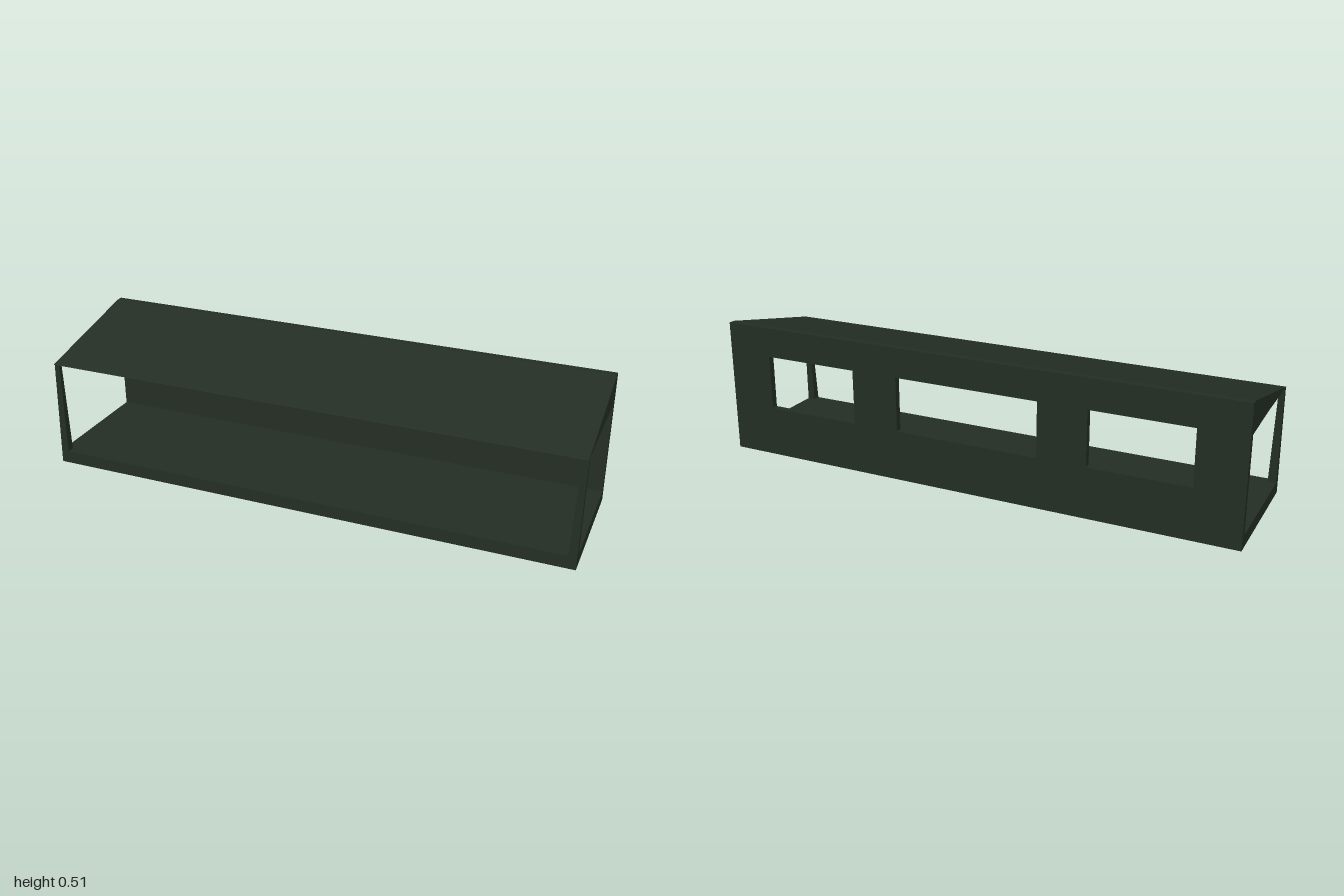
import * as THREE from 'three';

// Extrude a (z, y) side profile along the full length of x
function sideExtrude(points, length) {
  const shape = new THREE.Shape(points.map(([z, y]) => new THREE.Vector2(-z, y)));
  const geo = new THREE.ExtrudeGeometry(shape, { depth: length, bevelEnabled: false });
  geo.translate(0, 0, -length / 2);
  geo.rotateY(Math.PI / 2);
  return geo;
}

export function createModel() {
  const model = new THREE.Group();
  const darkGreen = new THREE.MeshStandardMaterial({ color: 0x242e24 });
  darkGreen.name = 'darkGreen';

  const add = (geo, name) => {
    const mesh = new THREE.Mesh(geo, darkGreen);
    mesh.name = name;
    model.add(mesh);
    return mesh;
  };

  // Floor slab with a slightly sloped front edge
  add(sideExtrude([[0.25, 0], [0.25, 0.03], [0.249, 0.048], [-0.25, 0.048], [-0.25, 0]], 2), 'floor');

  // Back wall with three window openings
  const wall = new THREE.Shape();
  wall.moveTo(-1, 0.048).lineTo(1, 0.048).lineTo(1, 0.508).lineTo(-1, 0.508).closePath();
  for (const [left, right] of [[-0.828, -0.458], [-0.276, 0.276], [0.456, 0.826]]) {
    const hole = new THREE.Path();
    hole.moveTo(left, 0.19).lineTo(left, 0.396).lineTo(right, 0.396).lineTo(right, 0.19).closePath();
    wall.holes.push(hole);
  }
  const wallGeo = new THREE.ExtrudeGeometry(wall, { depth: 0.025, bevelEnabled: false });
  wallGeo.translate(0, 0, -0.25);
  add(wallGeo, 'backWall');

  // Solid wedge roof falling towards the open front
  add(sideExtrude([[0.24, 0.405], [0, 0.405], [-0.225, 0.396], [-0.225, 0.508], [0.235, 0.407]], 2), 'roof');

  // Tapered front corner posts
  for (const side of [1, -1]) {
    const geo = new THREE.BoxGeometry(1, 1, 1).toNonIndexed();
    const p = geo.attributes.position;
    for (let i = 0; i < p.count; i++) {
      const top = p.getY(i) > 0;
      const inner = p.getX(i) * side < 0;
      const front = p.getZ(i) > 0;
      p.setXYZ(
        i,
        side * (inner ? (top ? 0.98 : 0.97) : 1),
        top ? 0.406 : 0.048,
        front ? (top ? 0.234 : 0.249) : 0.22
      );
    }
    geo.computeVertexNormals();
    add(geo, side > 0 ? 'leftFrontPost' : 'rightFrontPost');
  }

  return model;
}
